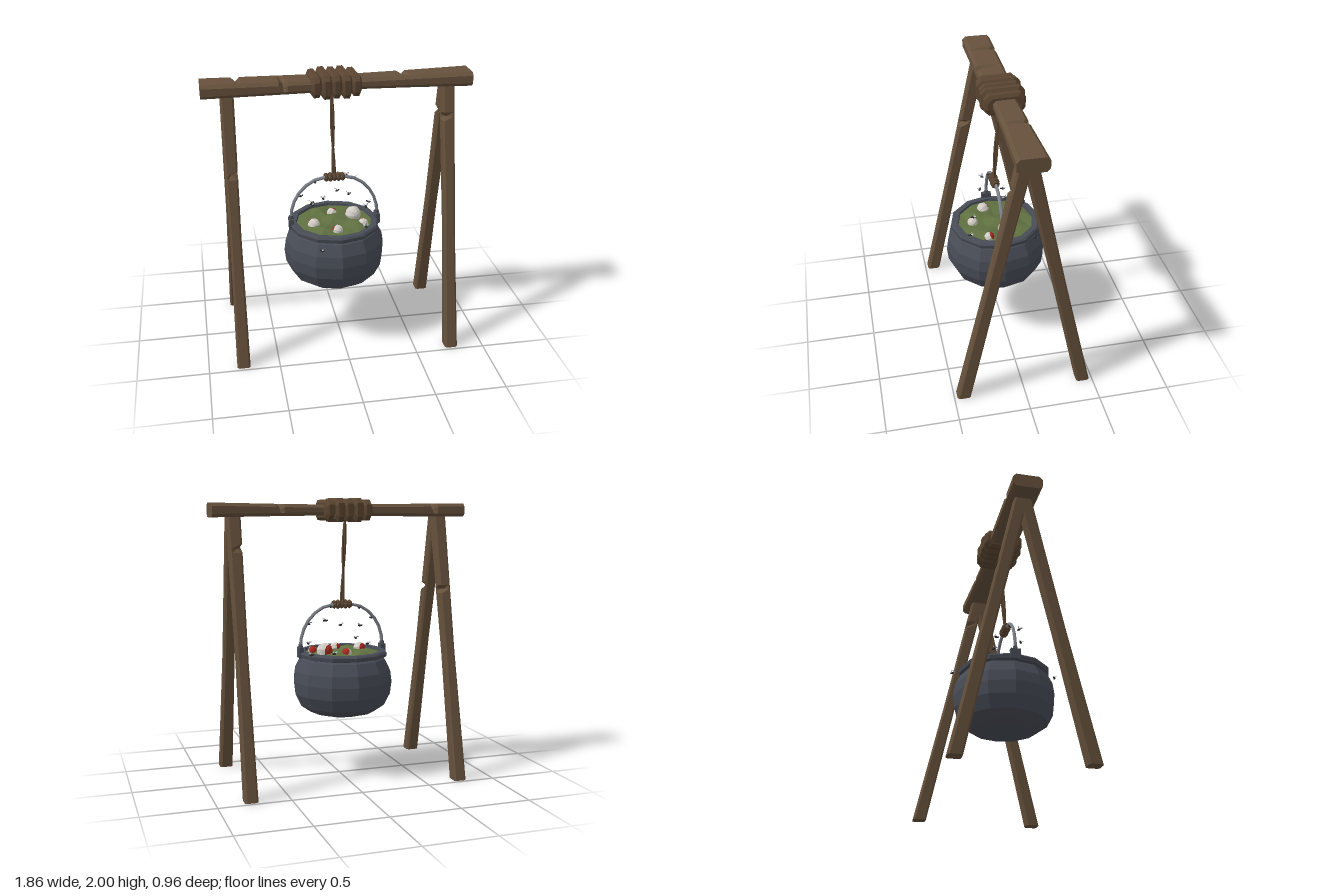
import * as THREE from 'three';

const mat = (name, color, extra = {}) => {
  const m = new THREE.MeshStandardMaterial({ color, flatShading: true, ...extra });
  m.name = name;
  return m;
};
const WOOD = mat('wood', 0x66513c);
const ROPE = mat('rope', 0x5a4531);
const IRON = mat('cauldron iron', 0x484c56);
const STEEL = mat('handle steel', 0x7f838b);
const SOUP = mat('green soup', 0x5f7040);
const WHITE = mat('eye white', 0xd2cdc6);
const RED = mat('blood red', 0xa8281f);
const DARK = mat('fly body', 0x2b2b2e);
const WING = mat('fly wing', 0xb4b8c0, { side: THREE.DoubleSide });

function add(parent, name, geometry, material, x = 0, y = 0, z = 0) {
  const mesh = new THREE.Mesh(geometry, material);
  mesh.name = name;
  mesh.position.set(x, y, z);
  parent.add(mesh);
  return mesh;
}

// Closed loft through rings of equal point count, counter-clockwise about the axis
function loft(rings) {
  const n = rings[0].length, index = [], last = (rings.length - 1) * n;
  for (let i = 0; i < rings.length - 1; i++)
    for (let j = 0; j < n; j++) {
      const a = i * n + j, b = i * n + (j + 1) % n;
      index.push(a, b, b + n, a, b + n, a + n);
    }
  for (let j = 1; j < n - 1; j++) index.push(0, j + 1, j, last, last + j, last + j + 1);
  const g = new THREE.BufferGeometry();
  g.setAttribute('position', new THREE.Float32BufferAttribute(rings.flat(2), 3));
  g.setIndex(index);
  g.computeVertexNormals();
  return g;
}

// Chamfered bar. keys: [t, halfU, halfV]; notches: [t, signU, signV, depthU, depthV]
function bar(keys, chamfer, place, notches = []) {
  const sizeAt = t => {
    let i = 0;
    while (i < keys.length - 2 && t > keys[i + 1][0]) i++;
    const [p, q] = [keys[i], keys[i + 1]], f = (t - p[0]) / (q[0] - p[0]);
    return [p[1] + (q[1] - p[1]) * f, p[2] + (q[2] - p[2]) * f];
  };
  const stops = keys.map(k => [k[0], null]);
  for (const n of notches) stops.push([n[0] - 0.03, null], [n[0], n], [n[0] + 0.03, null]);
  stops.sort((p, q) => p[0] - q[0]);
  return loft(stops.map(([t, notch]) => {
    const [a, b] = sizeAt(t), c = chamfer;
    const ring = [[a, c - b], [a, b - c], [a - c, b], [c - a, b],
      [-a, b - c], [-a, c - b], [c - a, -b], [a - c, -b]];
    return ring.map(([u, v]) => {
      if (notch && Math.sign(u) === notch[1] && Math.sign(v) === notch[2]) {
        u -= notch[1] * notch[3];
        v -= notch[2] * notch[4];
      }
      return place(t, u, v);
    });
  }));
}

function createFrame(root) {
  // Cross beam with chipped edges
  add(root, 'crossBeam', bar(
    [[-0.93, 0.048, 0.103], [-0.2, 0.042, 0.1], [0.15, 0.038, 0.083], [0.5, 0.042, 0.09], [0.925, 0.049, 0.103]],
    0.022, (t, u, v) => [t, 1.917 + u, v],
    [[-0.38, 1, 1, 0.025, 0.045], [-0.69, 1, -1, 0.02, 0.035], [0.45, 1, -1, 0.02, 0.02]]), WOOD);
  // Two A-shaped pairs of leaning legs
  for (const side of [-1, 1])
    for (const front of [-1, 1]) {
      const x0 = side < 0 ? -0.755 : 0.767;
      const chip = side < 0 ? 1.35 : 1.66, depth = side < 0 ? 0.03 : 0.018;
      add(root, front > 0 ? 'frontLeg' : 'backLeg', bar(
        [[0, 0.047, 0.046], [0.9, 0.043, 0.039], [1.45, 0.045, 0.043], [1.88, 0.047, 0.046]], 0.013,
        (t, u, v) => [x0 + v, t, u + front * (0.432 - 0.224 * t)],
        [[chip, front, -side, depth, depth]]), WOOD);
    }
}

function createRope(root) {
  // Wraps around the beam
  for (let i = -2; i <= 2; i++) {
    const k = i % 2 ? 0 : 0.006, o = Math.abs(i) === 2 ? 0.008 : 0;
    const h = 0.083 - k / 2 - o, w = 0.15 - k - o / 2;
    const wrap = add(root, 'beamWrap', bar(
      [[-0.034, h - 0.02, w - 0.02], [-0.018, h, w], [0.018, h, w], [0.034, h - 0.02, w - 0.02]],
      0.034, (t, u, v) => [t, u, v]), ROPE, -0.03 + i * 0.068, 1.917, 0);
    wrap.rotation.y = 0.05;
  }
  // Two twisted hanging strands
  for (const phase of [0, Math.PI]) {
    const points = [];
    for (let i = 0; i <= 12; i++) {
      const t = i / 12, a = phase + t * 5;
      points.push(new THREE.Vector3(
        -0.036 - 0.008 * t + 0.008 * Math.cos(a), 1.24 + 0.62 * t, 0.045 - 0.04 * t + 0.008 * Math.sin(a)));
    }
    add(root, 'hangingStrand', new THREE.TubeGeometry(new THREE.CatmullRomCurve3(points), 14, 0.009, 5), ROPE);
  }
  // Coil around the handle
  for (let i = -2; i <= 2; i++) {
    const ring = add(root, 'handleCoil', new THREE.TorusGeometry(i % 2 ? 0.022 : 0.019, 0.014, 5, 8), ROPE,
      -0.033 + i * 0.029, 1.242, 0.045);
    ring.rotation.y = Math.PI / 2 + 0.15;
  }
}

function createCauldron() {
  const pot = new THREE.Group();
  pot.name = 'cauldron';
  pot.position.set(-0.033, 0, 0.036);
  // Round-bellied body with an overhanging rim
  const profile = [[0, 0.44], [0.17, 0.442], [0.24, 0.462], [0.31, 0.51], [0.355, 0.6], [0.366, 0.69],
    [0.355, 0.77], [0.315, 0.85], [0.298, 0.862], [0.325, 0.868], [0.33, 0.895], [0.318, 0.908],
    [0.278, 0.908], [0.268, 0.86]].map(p => new THREE.Vector2(...p));
  add(pot, 'potBody', new THREE.LatheGeometry(profile, 12), IRON);

  // Uneven soup surface
  const soup = new THREE.RingGeometry(0.001, 0.275, 12, 3);
  soup.rotateX(-Math.PI / 2);
  const p = soup.attributes.position;
  for (let i = 0; i < p.count; i++) {
    const x = p.getX(i), z = p.getZ(i), r = Math.hypot(x, z);
    const bump = r > 0.26 ? 0 : 0.022 * Math.sin(x * 23 + 1) * Math.cos(z * 19 + 0.6) + 0.012;
    p.setY(i, 0.89 + bump);
  }
  add(pot, 'soup', soup, SOUP);

  // Lugs and arched handle
  for (const s of [-1, 1]) {
    add(pot, 'handleLug', new THREE.BoxGeometry(0.034, 0.075, 0.07), IRON, s * 0.313, 0.903, 0.008);
    add(pot, 'lugPin', new THREE.CylinderGeometry(0.014, 0.02, 0.03, 6), IRON, s * 0.313, 0.948, 0.008);
  }
  const half = [[0.313, 0.93], [0.305, 1.02], [0.255, 1.13], [0.15, 1.22]];
  const arch = [...half.map(([x, y]) => [-x, y]), [0, 1.243], ...half.reverse()];
  const path = new THREE.CatmullRomCurve3(arch.map(([x, y]) => new THREE.Vector3(x, y, 0.008)));
  add(pot, 'handle', new THREE.TubeGeometry(path, 14, 0.012, 6), STEEL);
  return pot;
}

// Floating eyeball: pale ball with a red torn side facing dir
function addEye(root, x, y, z, r, dir) {
  const eye = new THREE.Group();
  eye.name = 'eyeball';
  add(eye, 'eyeWhite', new THREE.SphereGeometry(r, 9, 6, 0, Math.PI * 2, 0.95, Math.PI - 0.95), WHITE);
  add(eye, 'redSide', new THREE.SphereGeometry(r, 9, 2, 0, Math.PI * 2, 0, 0.95), RED);
  eye.position.set(x, y, z);
  eye.quaternion.setFromUnitVectors(new THREE.Vector3(0, 1, 0), new THREE.Vector3(...dir).normalize());
  root.add(eye);
}

// Small fly with two raised wings
function addFly(root, x, y, z, turn) {
  const fly = new THREE.Group();
  fly.name = 'fly';
  add(fly, 'flyBody', new THREE.IcosahedronGeometry(0.009, 0), DARK).scale.set(1, 1, 1.7);
  add(fly, 'flyHead', new THREE.IcosahedronGeometry(0.006, 0), DARK, 0, 0.002, 0.016);
  for (const s of [-1, 1]) {
    const wing = add(fly, 'flyWing', new THREE.CircleGeometry(0.012, 5), WING, s * 0.012, 0.012, -0.006);
    wing.scale.set(0.6, 1, 1);
    wing.rotation.set(-0.9, s * 0.4, -s * 0.7);
  }
  fly.position.set(x, y, z);
  fly.rotation.set(0.3 * Math.sin(turn * 3), turn, 0);
  root.add(fly);
}

export function createModel() {
  const root = new THREE.Group();
  root.name = 'hangingCauldron';
  createFrame(root);
  createRope(root);
  root.add(createCauldron());

  addEye(root, 0.115, 0.915, -0.01, 0.058, [-0.6, 0, -0.8]);
  addEye(root, -0.19, 0.905, 0.1, 0.045, [-0.5, 0.1, -0.7]);
  addEye(root, -0.035, 0.9, 0.205, 0.038, [-0.8, 0.2, -0.5]);
  addEye(root, 0.165, 0.898, 0.12, 0.036, [0.2, 0.5, -0.8]);
  addEye(root, -0.03, 0.9, -0.08, 0.038, [0.4, 0.4, -0.4]);

  const flies = [[-0.17, 1.21, 0.05], [-0.28, 1.13, 0.09], [-0.2, 1.07, 0.12], [-0.09, 1.01, -0.1],
    [-0.17, 0.97, -0.13], [-0.17, 0.83, 0.37], [0.065, 1.23, 0.0], [0.0, 1.1, -0.03], [0.15, 1.15, -0.13],
    [0.16, 1.08, 0.23], [0.14, 0.94, -0.31], [0.27, 0.92, -0.19], [0.16, 0.93, 0.25]];
  flies.forEach(([x, y, z], i) => addFly(root, x, y, z, i * 2.1));
  return root;
}
